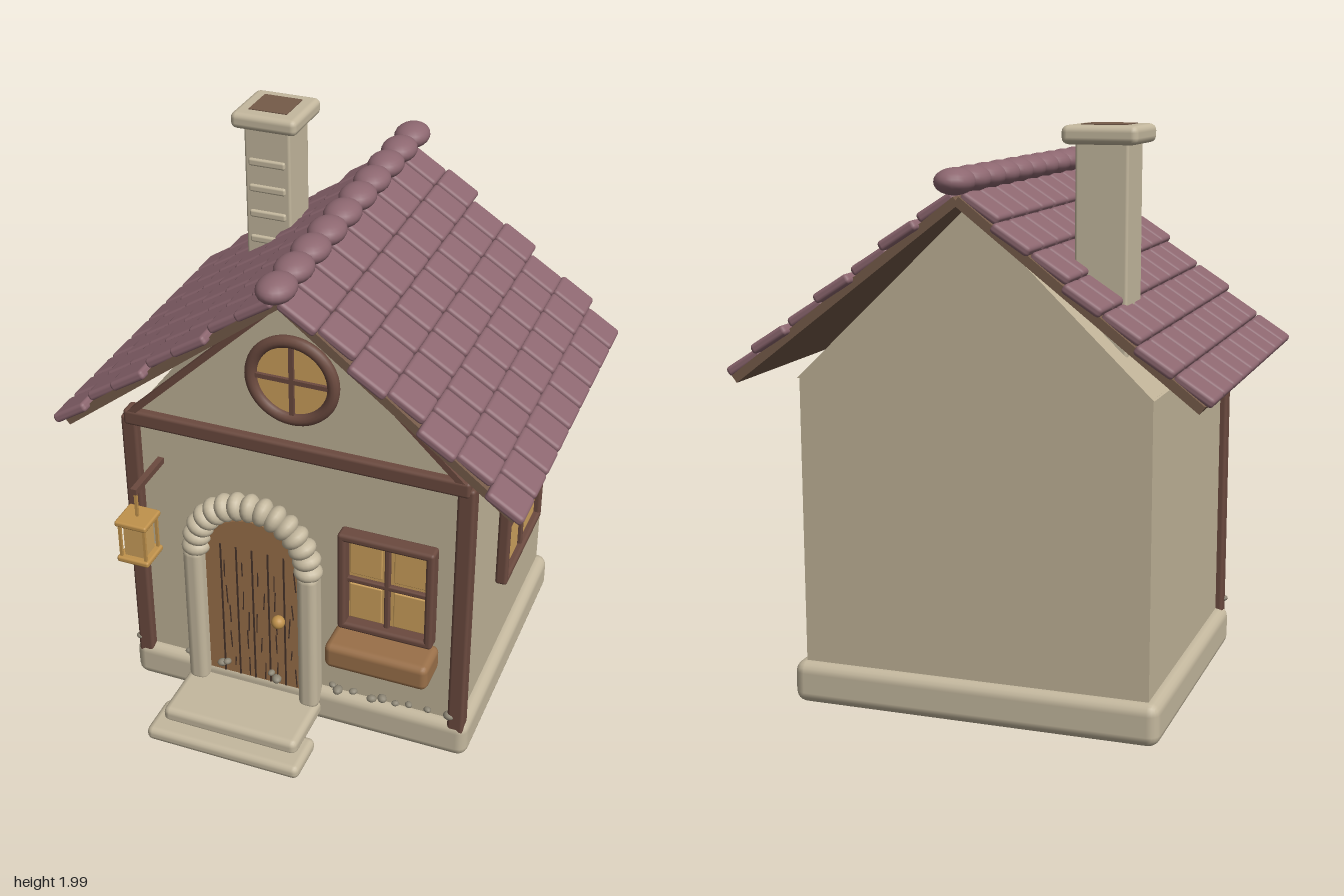
import * as THREE from 'three';
import { RoundedBoxGeometry } from 'three/addons/geometries/RoundedBoxGeometry.js';

const mat = (name, color, extra = {}) => Object.assign(new THREE.MeshStandardMaterial({ color, ...extra }), { name });

export function createModel() {
  const plaster = mat('plaster', 0xc0b398);
  const stone = mat('stone', 0xc4b89e);
  const tileRed = mat('roofTile', 0x8d6770);
  const darkWood = mat('darkWood', 0x6b4a3f);
  const boardWood = mat('roofBoard', 0x755b49);
  const doorWood = mat('doorWood', 0x9a7049);
  const glass = mat('warmGlass', 0xcca05c);
  const brass = mat('brass', 0xc0924c);
  const pebbleGrey = mat('pebbleGrey', 0x8d8675);
  const grain = mat('woodGrain', 0x46332a);

  const house = new THREE.Group();
  house.name = 'cottage';

  const add = (parent, name, geo, material, x = 0, y = 0, z = 0) => {
    const m = new THREE.Mesh(geo, material);
    m.name = name;
    m.position.set(x, y, z);
    parent.add(m);
    return m;
  };
  const box = (w, h, d) => new THREE.BoxGeometry(w, h, d);
  const rbox = (w, h, d, r = 0.012) => new RoundedBoxGeometry(w, h, d, 2, Math.min(r, w / 2.01, h / 2.01, d / 2.01));
  const group = (name, x = 0, y = 0, z = 0, parent = house) => {
    const g = new THREE.Group();
    g.name = name;
    g.position.set(x, y, z);
    parent.add(g);
    return g;
  };

  // Foundation, walls and gable
  add(house, 'foundation', rbox(1.3, 0.15, 1.09, 0.04), stone, 0, 0.085, 0);
  add(house, 'walls', box(1.22, 1.06, 1.02), plaster, 0, 0.63, 0);
  const tri = new THREE.Shape([[-0.615, 1.155], [0.615, 1.155], [0, 1.745]].map(p => new THREE.Vector2(...p)));
  add(house, 'gable', new THREE.ExtrudeGeometry(tri, { depth: 1.036, bevelEnabled: false }), plaster, 0, 0, -0.518);

  // Front timber frame
  for (const s of [-1, 1]) {
    add(house, 'cornerPost', rbox(0.06, 1.06, 0.06), darkWood, s * 0.605, 0.64, 0.51);
    const rake = add(house, 'rakeBoard', box(0.84, 0.022, 0.04), darkWood, s * 0.305, 1.465, 0.525);
    rake.rotation.z = -s * Math.atan2(0.59, 0.615);
  }
  add(house, 'crossBeam', rbox(1.24, 0.06, 0.065), darkWood, 0, 1.17, 0.515);

  // Roof: boards with staggered rows of tilted tiles
  const pitch = Math.atan2(0.61, 0.79), rows = 7, cols = 9, rowLen = 0.145, tileW = 0.143;
  const tileGeo = rbox(0.146, 0.034, tileW - 0.012, 0.013);
  for (const s of [-1, 1]) {
    const slope = group('roofSlope', 0, 1.77, 0);
    slope.rotation.z = -s * pitch;
    add(slope, 'roofBoards', box(1.0, 0.03, 1.25), boardWood, s * 0.5, 0, 0);
    for (let r = 0; r < rows; r++) {
      for (let c = 0; c < cols; c++) {
        const z = (c - (cols - 1) / 2) * tileW + (r % 2 ? -0.022 : 0.022);
        const tile = add(slope, 'roofTile', tileGeo, tileRed, s * (r + 0.5) * rowLen, 0.026, z);
        tile.rotation.z = s * 0.09;
      }
    }
  }
  const capGeo = new THREE.SphereGeometry(1, 20, 14);
  for (let i = 0; i < 10; i++) {
    add(house, 'ridgeCap', capGeo, tileRed, 0, 1.83, (i - 4.5) * 0.14).scale.set(0.064, 0.043, 0.082);
  }

  // Chimney
  const chimney = group('chimney', -0.408, 0, -0.33);
  add(chimney, 'chimneyShaft', rbox(0.175, 0.75, 0.175, 0.01), stone, 0, 1.585, 0);
  add(chimney, 'chimneyCap', rbox(0.25, 0.06, 0.25, 0.022), stone, 0, 1.968, 0);
  add(chimney, 'chimneyOpening', box(0.145, 0.006, 0.145), boardWood, 0, 1.998, 0);
  for (let i = 0; i < 5; i++) {
    add(chimney, 'chimneyBrick', rbox(0.14, 0.028, 0.02, 0.008), stone, 0, 1.81 - i * 0.1, 0.088);
  }

  // Four-pane window facing +z
  const makeWindow = (name, w, h, depth) => {
    const g = group(name);
    add(g, 'glass', box(w - 0.03, h - 0.03, 0.008), glass, 0, 0, 0.012);
    for (const s of [-1, 1]) {
      add(g, 'frameSide', rbox(0.03, h, depth), darkWood, s * (w / 2 - 0.015), 0, depth / 2);
      add(g, 'frameRail', rbox(w, 0.03, depth), darkWood, 0, s * (h / 2 - 0.015), depth / 2);
      for (const t of [-1, 1]) {
        add(g, 'pane', rbox(w / 2 - 0.055, h / 2 - 0.055, 0.009, 0.004), glass, s * (w / 4 - 0.006), t * (h / 4 - 0.006), 0.018);
      }
    }
    add(g, 'muntinUpright', rbox(0.02, h - 0.03, 0.02, 0.006), darkWood, 0, 0, 0.024);
    add(g, 'muntinBar', rbox(w - 0.03, 0.02, 0.02, 0.006), darkWood, 0, 0, 0.024);
    return g;
  };
  makeWindow('frontWindow', 0.345, 0.405, 0.06).position.set(0.345, 0.7, 0.512);
  const side = makeWindow('sideWindow', 0.47, 0.45, 0.045);
  side.position.set(0.611, 0.72, -0.1);
  side.rotation.y = Math.PI / 2;
  add(house, 'windowBox', rbox(0.375, 0.1, 0.15, 0.025), doorWood, 0.35, 0.45, 0.602);

  // Round attic window
  const attic = group('atticWindow', 0.002, 1.44, 0.52);
  add(attic, 'roundGlass', new THREE.CylinderGeometry(0.145, 0.145, 0.012, 40), glass).rotation.x = Math.PI / 2;
  add(attic, 'roundFrame', new THREE.TorusGeometry(0.145, 0.021, 12, 48), darkWood, 0, 0, 0.008);
  add(attic, 'atticUpright', box(0.016, 0.28, 0.016), darkWood, 0, 0, 0.01);
  add(attic, 'atticBar', box(0.28, 0.016, 0.016), darkWood, 0, 0, 0.01);

  // Arched door with stone surround
  const door = group('doorway', -0.157, 0, 0.51);
  const arch = new THREE.Shape();
  arch.moveTo(-0.18, 0.1);
  arch.lineTo(0.18, 0.1);
  arch.lineTo(0.18, 0.66);
  arch.absarc(0, 0.66, 0.18, 0, Math.PI, false);
  add(door, 'doorPanel', new THREE.ExtrudeGeometry(arch, { depth: 0.03, bevelEnabled: false, curveSegments: 20 }), doorWood);
  let seed = 7;
  const rand = () => (seed = (seed * 16807) % 2147483647) / 2147483647;
  for (let i = 0; i < 5; i++) {
    const x = -0.12 + i * 0.06;
    add(door, 'plankGap', box(0.006, 0.58, 0.004), grain, x, 0.43, 0.031);
    for (let k = 0; k < 5; k++) {
      const line = add(door, 'grainMark', box(0.004, 0.04 + rand() * 0.05, 0.003), grain, x + 0.01 + rand() * 0.035, 0.18 + k * 0.1 + rand() * 0.05, 0.031);
      line.rotation.z = (rand() - 0.5) * 0.2;
    }
  }
  add(door, 'doorKnob', new THREE.SphereGeometry(0.025, 18, 12), brass, 0.105, 0.45, 0.055);
  for (const s of [-1, 1]) {
    add(door, 'doorPillar', rbox(0.074, 0.6, 0.085, 0.028), stone, s * 0.217, 0.39, 0.035);
  }
  const stoneGeo = new THREE.SphereGeometry(1, 18, 12);
  for (let i = 0; i < 15; i++) {
    const a = (i / 14) * Math.PI;
    const v = add(door, 'archStone', stoneGeo, stone, Math.cos(a) * 0.213, 0.69 + Math.sin(a) * 0.213, 0.032);
    v.scale.set(0.052, 0.034, 0.05);
    v.rotation.z = a;
  }

  // Steps
  add(house, 'upperStep', rbox(0.52, 0.065, 0.265, 0.025), stone, -0.16, 0.078, 0.655);
  add(house, 'lowerStep', rbox(0.59, 0.055, 0.18, 0.024), stone, -0.16, 0.036, 0.768);

  // Hanging lantern on its bracket
  const lantern = group('lantern', -0.504, 0, 0.705);
  add(lantern, 'bracket', box(0.022, 0.022, 0.21), darkWood, 0, 0.998, -0.09);
  add(lantern, 'hanger', box(0.01, 0.12, 0.01), brass, 0, 0.935, 0);
  add(lantern, 'lanternBase', rbox(0.12, 0.022, 0.12, 0.008), brass, 0, 0.732, 0);
  add(lantern, 'lanternTop', rbox(0.12, 0.022, 0.12, 0.008), brass, 0, 0.88, 0);
  add(lantern, 'lanternGlow', box(0.075, 0.13, 0.075), glass, 0, 0.806, 0);
  for (const x of [-1, 1]) for (const z of [-1, 1]) {
    add(lantern, 'lanternPost', box(0.01, 0.14, 0.01), brass, x * 0.046, 0.806, z * 0.046);
  }

  // Pebbles along the foot of the front wall
  const pebbleGeo = new THREE.IcosahedronGeometry(1, 1);
  for (const x of [-0.63, -0.43, -0.41, -0.285, -0.265, -0.09, -0.07, 0.14, 0.16, 0.22, 0.29, 0.33, 0.38, 0.43, 0.5, 0.58]) {
    const z = Math.abs(x + 0.157) < 0.18 ? 0.55 : 0.53;
    const p = add(house, 'pebble', pebbleGeo, pebbleGrey, x, 0.168 + rand() * 0.025, z);
    const r = 0.011 + rand() * 0.006;
    p.scale.set(r * 1.3, r * 0.9, r * 1.1);
    p.rotation.y = rand() * 3;
  }

  // The cottage stands turned slightly to its left
  house.rotation.y = 0.14;
  house.position.set(-0.01, 0, -0.07);
  const model = new THREE.Group();
  model.name = 'model';
  model.add(house);
  return model;
}
